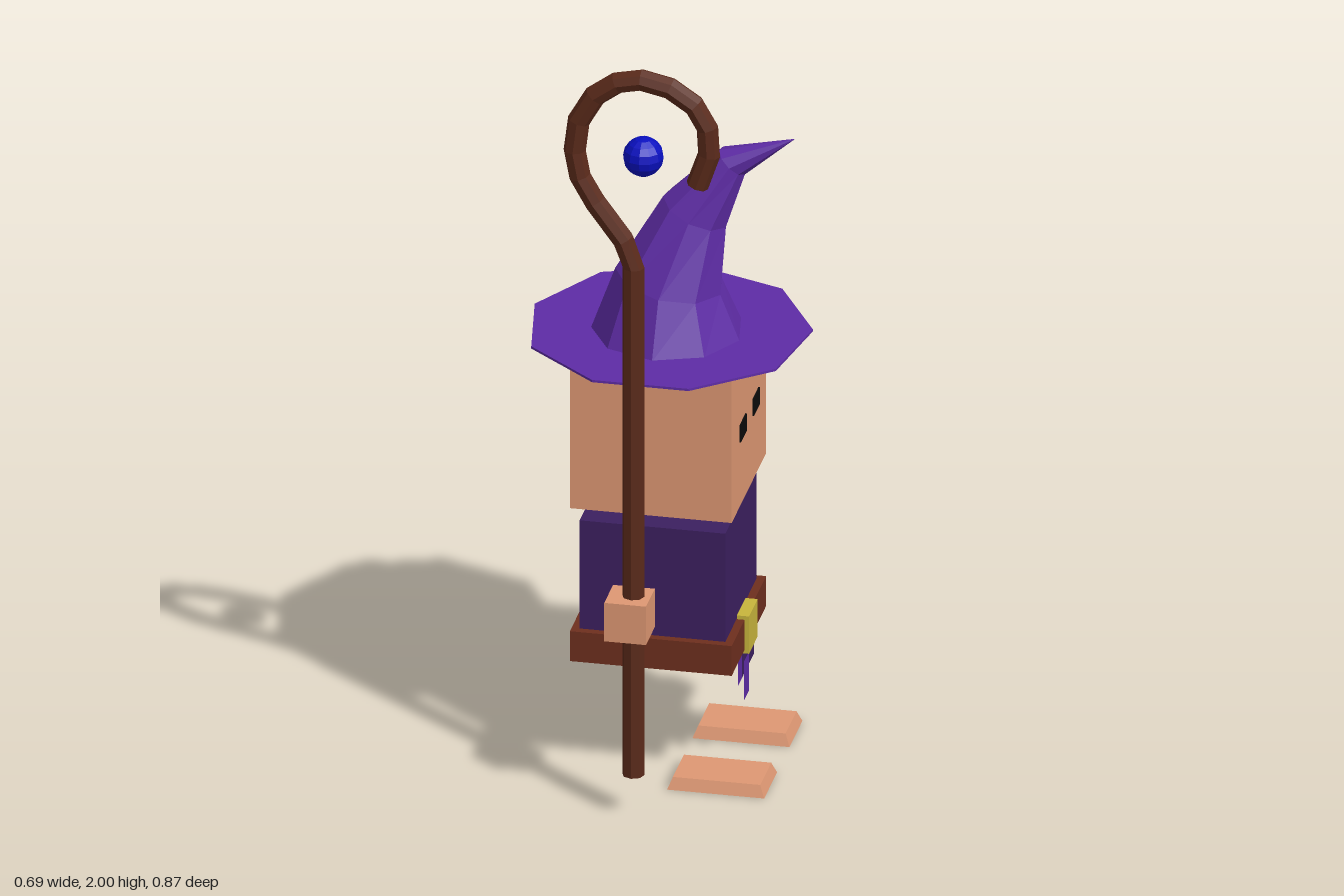
import * as THREE from 'three';

const SKIN = 0xde9873, PURPLE = 0x5e2ca5, ROBE = 0x3c2060, LEATHER = 0x6e2f1e,
  WOOD = 0x5a2a1a, GOLD = 0xc8b43c, BLUE = 0x0a10c0, BLACK = 0x0a0a0a;

const mat = (color, extra = {}) => new THREE.MeshStandardMaterial({ color, flatShading: true, ...extra });

function add(parent, name, geometry, color, x = 0, y = 0, z = 0, extra) {
  const mesh = new THREE.Mesh(geometry, mat(color, extra));
  mesh.name = name;
  mesh.position.set(x, y, z);
  parent.add(mesh);
  return mesh;
}

const box = (w, h, d) => new THREE.BoxGeometry(w, h, d);

// Skin through rings [x, y, z, radius, axis angle in the xy plane]; radius 0 closes an end
function loft(rings, sides) {
  const pos = [], index = [];
  for (const [x, y, z, r, a] of rings) {
    for (let j = 0; j < sides; j++) {
      const t = (j / sides) * Math.PI * 2, v = r * Math.sin(t);
      pos.push(x + v * Math.sin(a), y - v * Math.cos(a), z + r * Math.cos(t));
    }
  }
  for (let i = 0; i < rings.length - 1; i++) {
    for (let j = 0; j < sides; j++) {
      const a = i * sides + j, b = i * sides + (j + 1) % sides;
      const c = b + sides, d = a + sides;
      if (rings[i][3] > 0) index.push(a, b, rings[i + 1][3] > 0 ? c : d);
      if (rings[i + 1][3] > 0) index.push(a, c, d);
    }
  }
  const g = new THREE.BufferGeometry();
  g.setAttribute('position', new THREE.Float32BufferAttribute(pos, 3));
  g.setIndex(index);
  g.computeVertexNormals();
  return g;
}

// Flat slab whose top face is drawn in
function footGeometry() {
  const g = box(0.24, 0.03, 0.15), p = g.attributes.position;
  for (let i = 0; i < p.count; i++) {
    if (p.getY(i) > 0) {
      p.setX(i, p.getX(i) * 0.9);
      p.setZ(i, p.getZ(i) * 0.85);
    }
  }
  g.computeVertexNormals();
  return g;
}

export function createModel() {
  const model = new THREE.Group();
  model.name = 'wizard';

  // Head, neck and torso
  add(model, 'head', box(0.4, 0.405, 0.4), SKIN, 0, 0.9225, 0);
  add(model, 'neck', box(0.1, 0.05, 0.1), ROBE, 0, 0.7, 0);
  add(model, 'torso', box(0.36, 0.3, 0.36), ROBE, 0, 0.53, 0);
  add(model, 'belt', box(0.4, 0.08, 0.4), LEATHER, 0, 0.35, 0);
  add(model, 'buckle', box(0.03, 0.1, 0.1), GOLD, 0.196, 0.35, 0);

  // Thin cloth strips hanging below the buckle
  const strips = [
    [PURPLE, 0.075, 0.05, 0.235, 0.31, 0.194],
    [ROBE, -0.018, 0.135, 0.235, 0.31, 0.194],
    [PURPLE, 0.012, 0.06, 0.17, 0.275, 0.197],
  ];
  for (const [color, z, w, y0, y1, x] of strips) {
    const s = add(model, 'sashStrip', new THREE.PlaneGeometry(w, y1 - y0), color,
      x, (y0 + y1) / 2, z, { side: THREE.DoubleSide });
    s.rotation.y = Math.PI / 2;
  }

  // Eyes, floating hands and feet
  for (const [side, name] of [[1, 'right'], [-1, 'left']]) {
    add(model, name + 'Eye', box(0.008, 0.045, 0.07), BLACK, 0.2, 0.917, side * 0.075);
    add(model, name + 'Hand', box(0.103, 0.103, 0.103), SKIN, -0.014, 0.537, side * 0.381);
    add(model, name + 'Foot', footGeometry(), SKIN, 0.165, 0.015, side * 0.147);
  }

  // Hat: nine-sided brim and a bent, tapering crown
  const hat = new THREE.Group();
  hat.name = 'hat';
  model.add(hat);
  const brim = add(hat, 'brim', new THREE.CylinderGeometry(0.349, 0.349, 0.006, 9), PURPLE, 0, 1.126, -0.006);
  brim.rotation.y = Math.PI;
  const up = Math.PI / 2;
  add(hat, 'crown', loft([
    [0, 1.126, 0, 0.187, up],
    [0.004, 1.265, -0.002, 0.134, up - 0.18],
    [0.062, 1.44, -0.03, 0.086, up - 0.42],
    [0.152, 1.575, -0.037, 0.044, up - 0.75],
    [0.307, 1.65, -0.037, 0, up - 1.1],
  ], 9), PURPLE);

  // Staff: straight shaft running into a crook
  const path = [[-0.005, 0.11], [-0.005, 1.47], [-0.03, 1.54], [-0.1, 1.635], [-0.137, 1.7], [-0.15, 1.77],
    [-0.14, 1.85], [-0.1, 1.92], [-0.045, 1.96], [0.015, 1.973], [0.085, 1.958], [0.145, 1.918],
    [0.178, 1.86], [0.182, 1.79], [0.153, 1.705]];
  const rings = path.map(([x, y], i) => {
    const p = path[Math.max(i - 1, 0)], n = path[Math.min(i + 1, path.length - 1)];
    const a = i < 2 ? up : Math.atan2(n[1] - p[1], n[0] - p[0]);
    return [x, y, 0.378, 0.0275, a];
  });
  const cap = ([x, y, z, , a]) => [x, y, z, 0, a];
  add(model, 'staff', loft([cap(rings[0]), ...rings, cap(rings[rings.length - 1])], 8), WOOD);
  add(model, 'orb', new THREE.SphereGeometry(0.05, 12, 8), BLUE, 0.02, 1.77, 0.38);

  return model;
}
